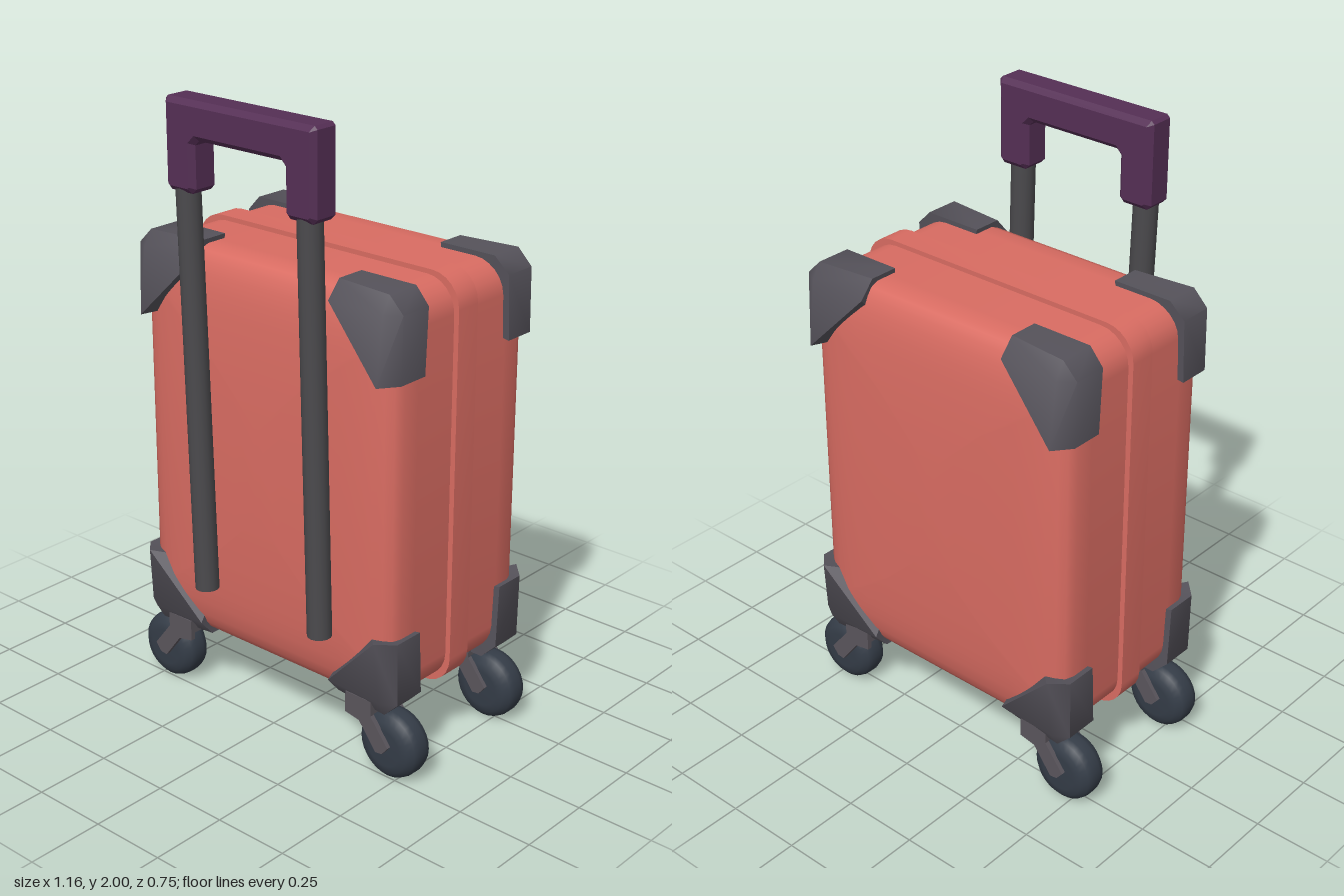
import * as THREE from 'three';
import { toCreasedNormals } from 'three/addons/utils/BufferGeometryUtils.js';

const mat = (color) => new THREE.MeshStandardMaterial({ color });
const shellMat = mat(0xd96c62), guardMat = mat(0x55525a), poleMat = mat(0x4b4a4d);
const wheelMat = mat(0x343c47), forkMat = mat(0x5a555c), gripMat = mat(0x552f55);
const CY = 0.885, CZ = -0.0275; // centre of the case

function add(parent, name, geometry, material) {
  const mesh = new THREE.Mesh(geometry, material);
  mesh.name = name;
  parent.add(mesh);
  return mesh;
}

// Counter-clockwise outline of a rounded rectangle with half sizes w, h
function roundedOutline(w, h, r, n = 6) {
  const pts = [];
  [[1, 1], [-1, 1], [-1, -1], [1, -1]].forEach(([sx, sy], q) => {
    for (let i = 0; i <= n; i++) {
      const a = (q + i / n) * Math.PI / 2;
      pts.push([sx * (w - r) + r * Math.cos(a), sy * (h - r) + r * Math.sin(a)]);
    }
  });
  return pts;
}

// Case: rounded rings from back to front, both faces gently bulged along the height
function shellGeometry() {
  const half = [[0, 0.2], [0, 0.28], [0.012, 0.308], [0.035, 0.322], [0.07, 0.333],
    [0.12, 0.339], [0.18, 0.342], [0.3, 0.342], [0.4, 0.342], [0.49, 0.342]];
  const rings = [...half.map(([e, d]) => [e, -d]).reverse(), ...half];
  const pos = [], idx = [];
  let n = 0;
  for (const [e, d] of rings) {
    const w = 0.5 - e, h = 0.645 - e;
    const outline = roundedOutline(w, h, Math.min(w, Math.max(0.1 - e * 0.3, 0.005)));
    n = outline.length;
    for (const [x, y] of outline) {
      const dip = Math.abs(d) > 0.25 ? 0.03 * (y / 0.645) ** 2 : 0;
      pos.push(x, y, d - Math.sign(d) * dip);
    }
  }
  for (let r = 0; r < rings.length - 1; r++) {
    for (let i = 0; i < n; i++) {
      const a = r * n + i, b = r * n + (i + 1) % n;
      idx.push(a, b, b + n, a, b + n, a + n);
    }
  }
  // close the narrow slot left in the middle of each face
  const last = (rings.length - 1) * n;
  for (let i = 1; i < n - 1; i++) idx.push(0, i + 1, i, last, last + i, last + i + 1);
  const g = new THREE.BufferGeometry();
  g.setAttribute('position', new THREE.Float32BufferAttribute(pos, 3));
  g.setIndex(idx);
  return toCreasedNormals(g, 0.9);
}

// Corner guard: faceted cap with a cut-off front face and an inward rim
function guardGeometry(sx, sy, sz) {
  const P = {
    A: [0.27, 0.66, 0.18], B: [0.47, 0.66, 0.18], C: [0.47, 0.66, 0.295], D: [0.27, 0.66, 0.275],
    E: [0.47, 0.61, 0.325], F: [0.52, 0.61, 0.185], G: [0.52, 0.405, 0.195], H: [0.52, 0.61, 0.295],
    I: [0.52, 0.405, 0.3], J: [0.47, 0.4, 0.35], K: [0.27, 0.605, 0.323],
  };
  const core = [0.3, 0.45, 0.18];
  const inner = (p) => p.map((v, i) => v + (core[i] - v) * 0.25);
  const polys = ['ADCB', 'BCHF', 'FHIG', 'HEJI', 'DKEC', 'CEH', 'KJE']
    .map((s) => [...s].map((k) => P[k]));
  const rim = [...'ADKJIGFB'].map((k) => P[k]);
  rim.forEach((p, i) => {
    const q = rim[(i + 1) % rim.length];
    polys.push([q, p, inner(p), inner(q)]);
  });
  const pos = [];
  const flip = sx * sy * sz < 0;
  for (const poly of polys) {
    for (let i = 1; i < poly.length - 1; i++) {
      const tri = [poly[0], poly[i], poly[i + 1]];
      if (flip) tri.reverse();
      for (const [x, y, z] of tri) pos.push(x * sx, y * sy, z * sz);
    }
  }
  const g = new THREE.BufferGeometry();
  g.setAttribute('position', new THREE.Float32BufferAttribute(pos, 3));
  return toCreasedNormals(g, 0.85);
}

function extrude(points, depth, bevel = 0) {
  const shape = new THREE.Shape(points.map(([x, y]) => new THREE.Vector2(x, y)));
  const g = new THREE.ExtrudeGeometry(shape, {
    depth: depth - 2 * bevel, bevelEnabled: bevel > 0, bevelSize: bevel,
    bevelThickness: bevel, bevelOffset: -bevel, bevelSegments: 1,
  });
  return g.translate(0, 0, -depth / 2 + bevel);
}

// Caster: wheel on a z axis between two slanted fork arms
function caster(side) {
  const group = new THREE.Group();
  group.name = 'caster';
  const profile = [[0, -0.055], [0.06, -0.055], [0.085, -0.05], [0.104, -0.034], [0.11, -0.015],
    [0.11, 0.015], [0.104, 0.034], [0.085, 0.05], [0.06, 0.055], [0, 0.055]];
  const tyre = new THREE.LatheGeometry(profile.map(([x, y]) => new THREE.Vector2(x, y)), 28);
  add(group, 'wheel', tyre.rotateX(Math.PI / 2), wheelMat).position.set(side * 0.47, 0.11, 0);
  const arm = [[0.33, 0.26], [0.33, 0.19], [0.385, 0.18], [0.45, 0.095], [0.475, 0.098],
    [0.497, 0.125], [0.43, 0.21], [0.43, 0.26]].map(([x, y]) => [side * x, y]);
  for (const z of [-0.061, 0.061]) {
    add(group, 'forkArm', extrude(arm, 0.016), forkMat).position.z = z;
  }
  add(group, 'forkTop', new THREE.BoxGeometry(0.1, 0.045, 0.136), forkMat)
    .position.set(side * 0.38, 0.235, 0);
  return group;
}

export function createModel() {
  const model = new THREE.Group();
  model.name = 'suitcase';

  const body = new THREE.Group();
  body.name = 'case';
  body.position.set(0, CY, CZ);
  model.add(body);
  add(body, 'shell', shellGeometry(), shellMat);
  const band = extrude(roundedOutline(0.517, 0.66, 0.1), 0.088);
  add(body, 'centreBand', toCreasedNormals(band, 0.6), shellMat);
  for (const sx of [-1, 1]) for (const sy of [-1, 1]) for (const sz of [-1, 1]) {
    add(body, 'cornerGuard', guardGeometry(sx, sy, sz), guardMat);
  }

  // Casters
  for (const side of [-1, 1]) for (const z of [0.215, -0.262]) {
    const c = caster(side);
    c.position.z = z;
    model.add(c);
  }

  // Telescopic poles, leaning slightly
  for (const [top, bottom] of [[-0.237, -0.2], [0.237, 0.27]]) {
    const lean = Math.atan2(bottom - top, 1.3);
    const pole = add(model, 'pole', new THREE.CylinderGeometry(0.038, 0.038, 1.3, 14), poleMat);
    pole.position.set((top + bottom) / 2, 1.098, 0.333);
    pole.rotation.z = lean;
  }

  // Grip: bevelled arch with clipped corners
  const arch = [[0.175, 1.74], [0.19, 1.725], [0.275, 1.725], [0.29, 1.74], [0.29, 1.99], [0.28, 2]];
  const roof = [[-0.16, 1.885], [0.16, 1.885], [0.175, 1.87]];
  const mirrored = arch.map(([x, y]) => [-x, y]).reverse();
  const grip = extrude([...arch, ...mirrored, [-0.175, 1.87], ...roof], 0.105, 0.016);
  add(model, 'grip', grip, gripMat).position.z = 0.324;

  return model;
}
